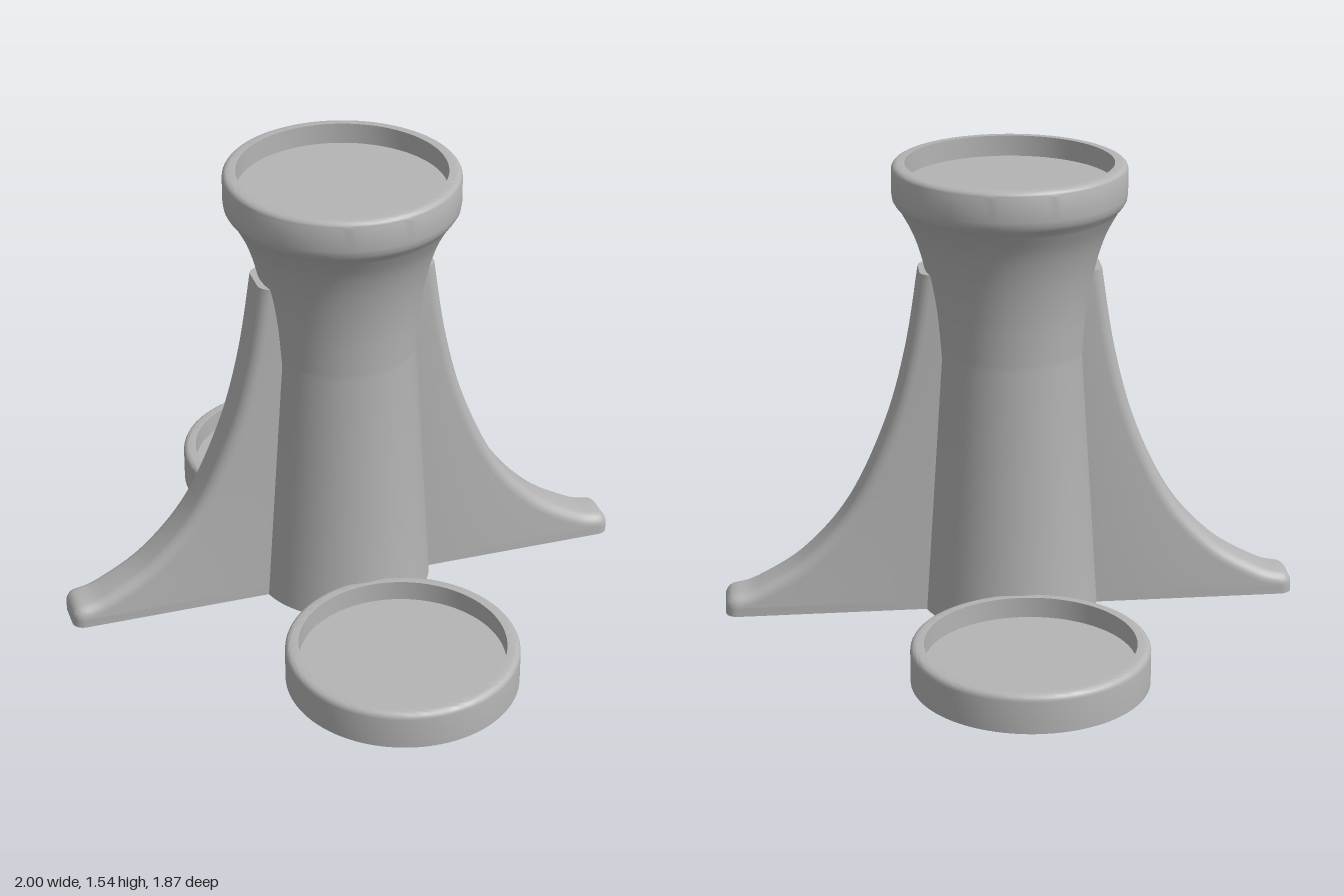
import * as THREE from 'three';
import { toCreasedNormals } from 'three/addons/utils/BufferGeometryUtils.js';

const grey = new THREE.MeshStandardMaterial({ color: 0xb4b4b4 });
grey.name = 'plain grey';

const V = (x, y) => new THREE.Vector2(x, y);

function part(name, geometry) {
  const mesh = new THREE.Mesh(geometry, grey);
  mesh.name = name;
  return mesh;
}

const lathe = (points) => toCreasedNormals(new THREE.LatheGeometry(points, 96), 0.5);

// Rounded rim ending in a shallow recess, shared by the column head and the trays
function rim(outer, inner, top, floor) {
  const pts = [];
  const r = 0.022;
  for (let k = 0; k <= 5; k++) {
    const a = (k / 5) * Math.PI / 2;
    pts.push(V(outer - r + r * Math.cos(a), top - r + r * Math.sin(a)));
  }
  pts.push(V(inner, top), V(inner, floor), V(0, floor));
  return pts;
}

// Hollow column: tapered shaft, flared neck, dished head
function columnGeometry() {
  const neck = new THREE.SplineCurve([
    V(0.247, 0.9), V(0.26, 1.06), V(0.284, 1.2), V(0.318, 1.31), V(0.362, 1.395),
  ]).getPoints(20);
  const head = [V(0.375, 1.41), V(0.384, 1.425), V(0.387, 1.445)];
  return lathe([
    V(0, 1.4), V(0.25, 1.4), V(0.236, 1.2), V(0.205, 0.9), V(0.258, 0),
    V(0.303, 0), ...neck, ...head, ...rim(0.387, 0.343, 1.545, 1.475),
  ]);
}

// Low round tray with a raised rim
const trayGeometry = () => lathe([V(0, 0), V(0.386, 0), ...rim(0.386, 0.342, 0.13, 0.06)]);

// Curved buttress: rounded cross-sections swept up a concave profile
function finGeometry() {
  const w = 0.082, c = 0.04, steps = 5;
  const toe = [V(0.975, 0), V(0.975, 0.015)];
  for (let k = 0; k < 6; k++) {
    const a = (k / 6) * 1.4;
    toe.push(V(0.933 + 0.042 * Math.cos(a), 0.03 + 0.042 * Math.sin(a)));
  }
  const sweep = new THREE.SplineCurve([
    V(0.935, 0.072), V(0.86, 0.095), V(0.7, 0.195), V(0.545, 0.375),
    V(0.42, 0.645), V(0.347, 0.91), V(0.302, 1.19),
  ]).getPoints(48);
  const path = [...toe, ...sweep];
  const pos = [], index = [];
  const n = 2 * steps + 4;

  path.forEach((p, i) => {
    const a = path[Math.max(i - 1, 0)], b = path[Math.min(i + 1, path.length - 1)];
    const ends = i === 0 || i === path.length - 1;
    const normal = ends ? V(1, 0) : V(b.y - a.y, a.x - b.x).normalize();
    const at = (t, d) => pos.push(t, Math.max(p.y - normal.y * d, 0), p.x - normal.x * d);
    const root = (t) => {
      const y = Math.max(p.y - normal.y * c, 0);
      pos.push(t, y, 0.272 - 0.066 * y);
    };
    root(-w);
    for (let k = 0; k <= steps; k++) {
      const f = (k / steps) * Math.PI / 2;
      at(-(w - c) - c * Math.cos(f), c * (1 - Math.sin(f)));
    }
    for (let k = steps; k >= 0; k--) {
      const f = (k / steps) * Math.PI / 2;
      at(w - c + c * Math.cos(f), c * (1 - Math.sin(f)));
    }
    root(w);
  });

  for (let i = 0; i < path.length - 1; i++) {
    for (let j = 0; j < n - 1; j++) {
      const a = i * n + j, d = a + n;
      index.push(a, a + 1, d + 1, a, d + 1, d);
    }
  }
  // Flat foot and flat top
  const last = (path.length - 1) * n;
  for (let j = 1; j < n - 1; j++) {
    index.push(0, j + 1, j, last, last + j, last + j + 1);
  }
  const g = new THREE.BufferGeometry();
  g.setAttribute('position', new THREE.Float32BufferAttribute(pos, 3));
  g.setIndex(index);
  return toCreasedNormals(g, 0.6);
}

export function createModel() {
  const model = new THREE.Group();
  model.name = 'pedestalWithTrays';
  model.add(part('column', columnGeometry()));

  const fin = finGeometry();
  const tray = trayGeometry();
  for (const [side, turn] of [['front', 0], ['back', Math.PI]]) {
    const f = part(side + 'Fin', fin);
    f.rotation.y = turn;
    model.add(f);
  }
  for (const [side, s] of [['left', 1], ['right', -1]]) {
    const t = part(side + 'Tray', tray);
    t.position.x = s * 0.653;
    model.add(t);
  }
  // The whole arrangement is turned a little about the column axis
  model.rotation.y = THREE.MathUtils.degToRad(-20);
  return model;
}
